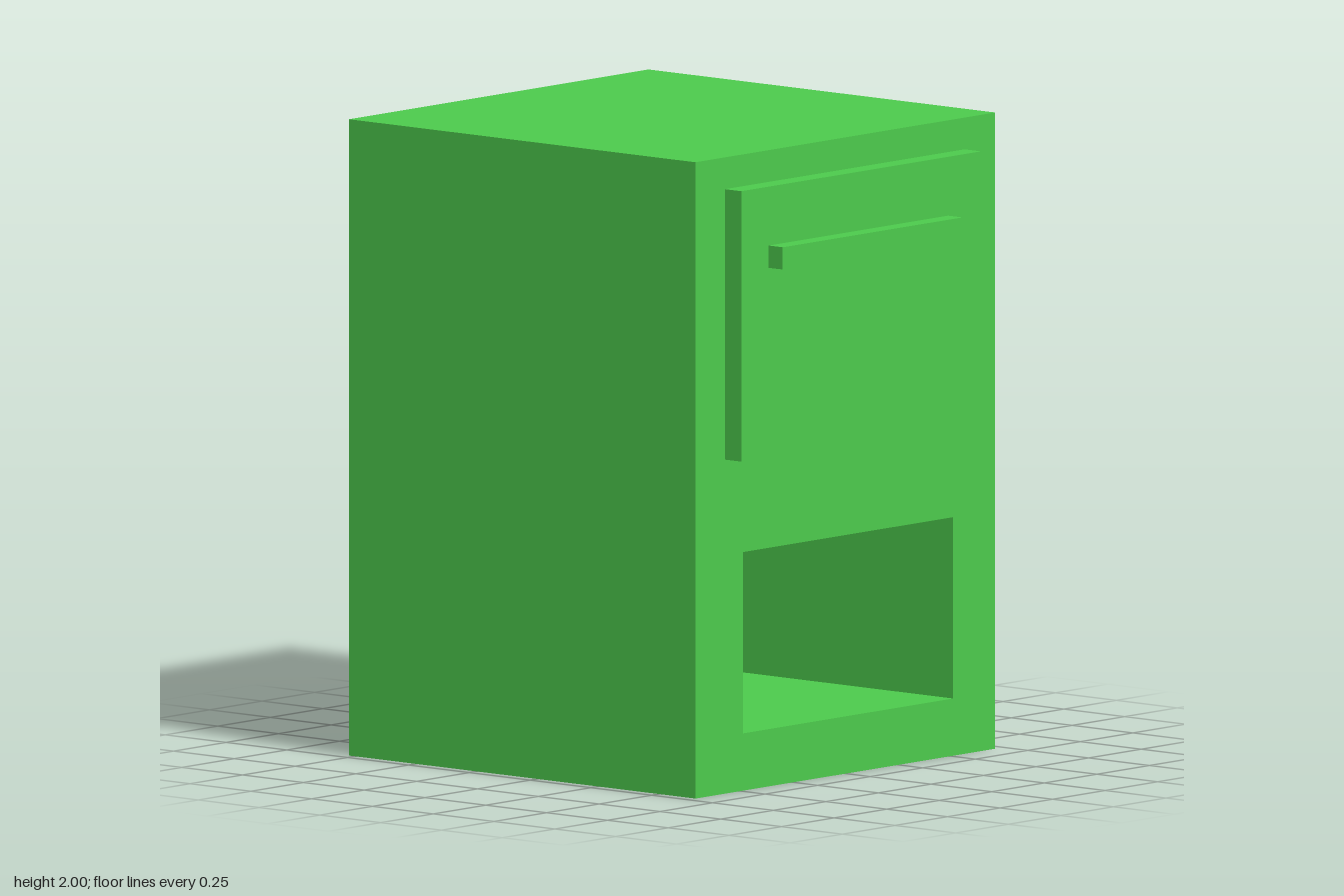
import * as THREE from 'three';
import { mergeGeometries } from 'three/addons/utils/BufferGeometryUtils.js';

const material = new THREE.MeshStandardMaterial({ color: 0x4dcb4d });

// Box from minimum and maximum corners
function box([x0, y0, z0], [x1, y1, z1]) {
  return new THREE.BoxGeometry(x1 - x0, y1 - y0, z1 - z0)
    .translate((x0 + x1) / 2, (y0 + y1) / 2, (z0 + z1) / 2);
}

// Box without its front (+z) face
function openBox(min, max) {
  const g = box(min, max);
  const index = Array.from(g.index.array);
  index.splice(24, 6);
  g.setIndex(index);
  g.clearGroups();
  return g;
}

function rectangle(path, x0, y0, x1, y1) {
  path.moveTo(x0, y0);
  path.lineTo(x1, y0);
  path.lineTo(x1, y1);
  path.lineTo(x0, y1);
  path.closePath();
  return path;
}

export function createModel() {
  const model = new THREE.Group();
  model.name = 'bedsideCabinet';

  const add = (name, geometry) => {
    const mesh = new THREE.Mesh(geometry, material);
    mesh.name = name;
    model.add(mesh);
  };

  // Cabinet: outer walls, front face with an opening, and the open compartment
  const front = 0.65;
  const walls = openBox([-0.715, 0, -0.775], [0.71, 2, front]);

  const face = rectangle(new THREE.Shape(), -0.715, 0, 0.71, 2);
  face.holes.push(rectangle(new THREE.Path(), -0.49, 0.18, 0.51, 0.75));
  const frontFace = new THREE.ShapeGeometry(face).translate(0, 0, front);

  // Mirroring turns the compartment's faces inward
  const compartment = openBox([-0.51, 0.18, -0.6], [0.49, 0.75, front]).scale(-1, 1, 1);
  compartment.computeVertexNormals();

  add('cabinet', mergeGeometries([walls, frontFace, compartment]));

  // Drawer front and its bar handle
  add('drawerFront', box([-0.575, 1.05, front], [0.565, 1.9, 0.717]));
  add('drawerHandle', box([-0.445, 1.645, 0.717], [0.41, 1.715, 0.775]));

  return model;
}
